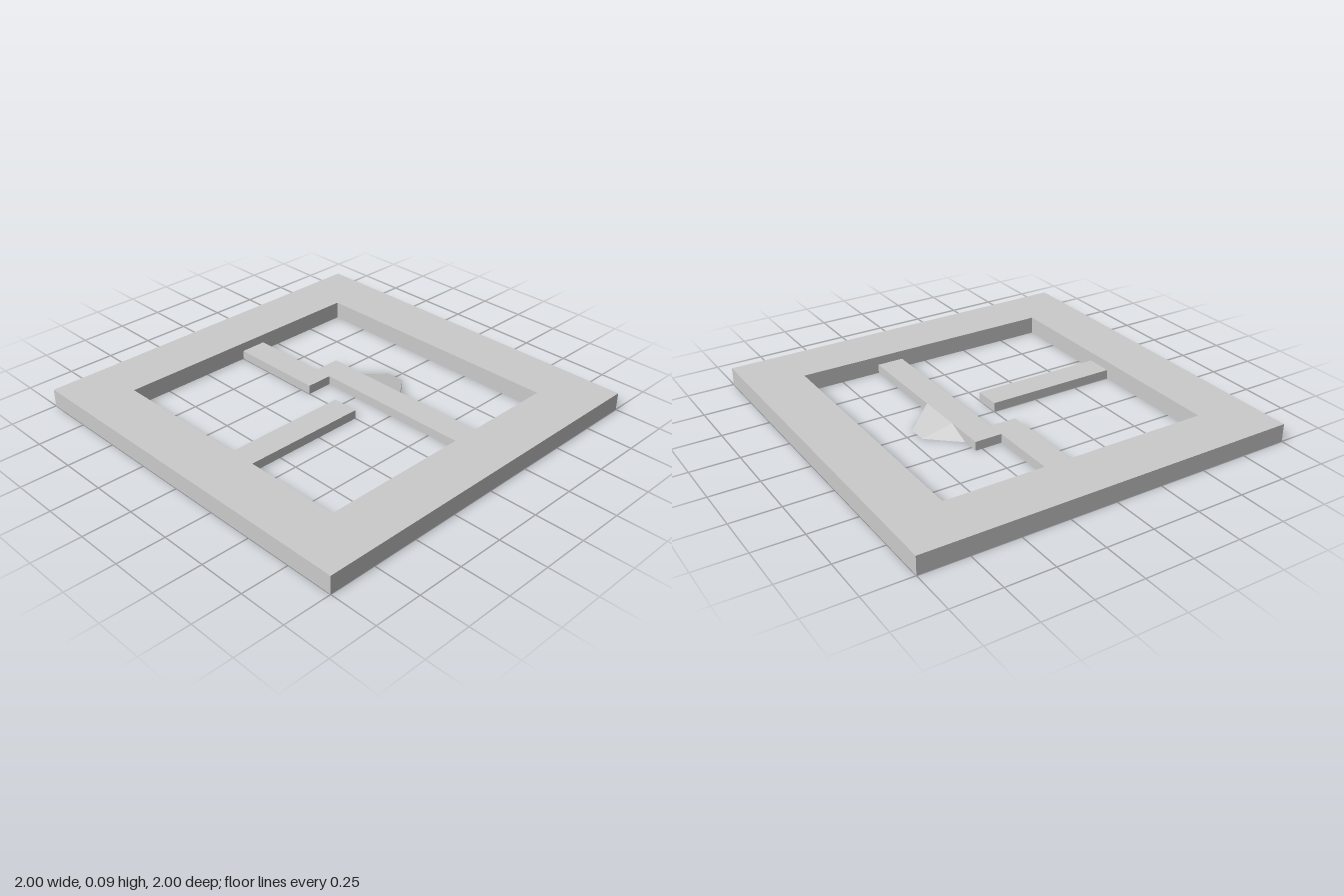
import * as THREE from 'three';

const material = new THREE.MeshStandardMaterial({ color: 0xcccccc, flatShading: true });

// Shape drawn in (x, -z) so that it extrudes upwards from the ground
function outline(points, Type = THREE.Shape) {
  return new Type(points.map(([x, z]) => new THREE.Vector2(x, -z)));
}

function slab(name, shape, height) {
  const geometry = new THREE.ExtrudeGeometry(shape, { depth: height, bevelEnabled: false });
  geometry.rotateX(-Math.PI / 2);
  const mesh = new THREE.Mesh(geometry, material);
  mesh.name = name;
  return mesh;
}

const square = (r) => [[-r, r], [r, r], [r, -r], [-r, -r]];

// Small ramp leaning on the back of the cross bar
function ramp(height) {
  const back = -0.445, base = -0.287;
  const points = [
    [-0.19, 0, base], [-0.07, height, base], [0.18, height, base], // against the bar
    [0.18, 0, base], [0.05, 0, back], [-0.05, 0, back],            // foot
  ];
  const faces = [
    [0, 1, 5], [1, 4, 5], [1, 2, 4], [2, 3, 4], // sloping sides
    [0, 5, 4], [0, 4, 3],                       // underside
  ];
  const geometry = new THREE.BufferGeometry();
  const corners = faces.flat().flatMap((i) => points[i]);
  geometry.setAttribute('position', new THREE.Float32BufferAttribute(corners, 3));
  geometry.computeVertexNormals();
  const rampMaterial = material.clone();
  rampMaterial.side = THREE.DoubleSide;
  const mesh = new THREE.Mesh(geometry, rampMaterial);
  mesh.name = 'ramp';
  return mesh;
}

export function createModel() {
  const group = new THREE.Group();
  group.name = 'framedPanel';
  const outer = 1, inner = 0.714, frameHeight = 0.095, barHeight = 0.048;

  // Square frame with an open middle
  const frame = outline(square(outer));
  frame.holes.push(outline(square(inner), THREE.Path));
  group.add(slab('frame', frame, frameHeight));

  // Stepped bar across the opening
  group.add(slab('crossBar', outline([
    [-inner, 0], [-0.19, 0], [-0.19, -0.143], [inner, -0.143],
    [inner, -0.287], [-0.287, -0.287], [-0.287, -0.143], [-inner, -0.143],
  ]), barHeight));

  // Short bar reaching in from the front
  group.add(slab('frontBar', outline([
    [0, inner], [0.143, inner], [0.143, 0], [0, 0],
  ]), barHeight));

  group.add(ramp(barHeight));
  return group;
}
